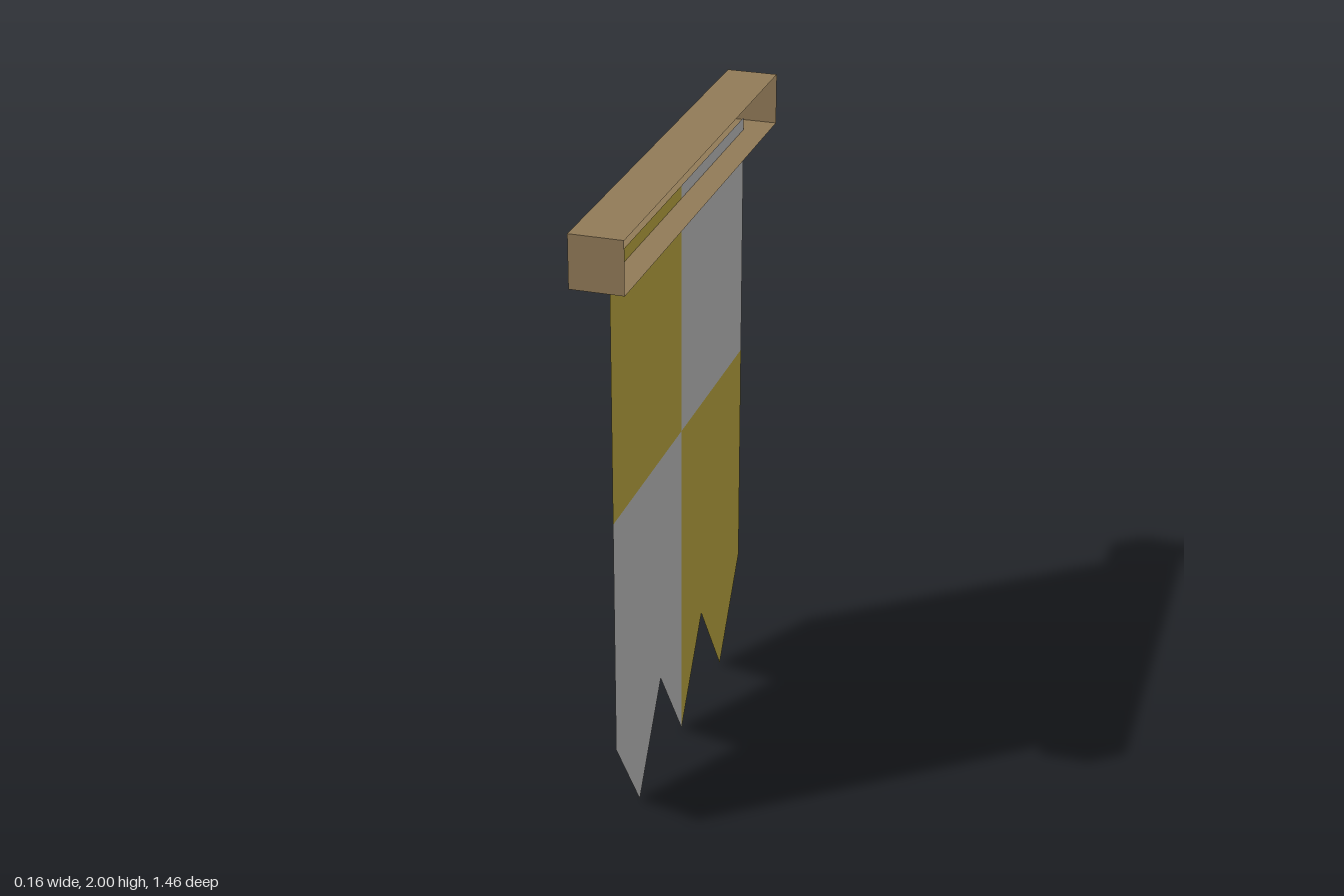
import * as THREE from 'three';

const material = (name, color) => {
  const m = new THREE.MeshStandardMaterial({ color, side: THREE.DoubleSide });
  m.name = name;
  return m;
};

export function createModel() {
  const wood = material('wood', 0x927b58);
  const gold = material('gold cloth', 0xc9b345);
  const white = material('white cloth', 0xcbcbcb);

  const group = new THREE.Group();
  group.name = 'hangingBanner';

  // Thin-walled crossbar, open along its +x side
  const barGeometry = new THREE.BoxGeometry(0.16, 0.16, 1.46);
  barGeometry.setIndex(Array.from(barGeometry.index.array).slice(6));
  barGeometry.clearGroups();
  const bar = new THREE.Mesh(barGeometry, wood);
  bar.name = 'crossbar';
  bar.position.y = 1.92;
  group.add(bar);

  // Single-sheet cloth, drawn in (-z, y) and turned to face x
  const banner = new THREE.Group();
  banner.name = 'banner';
  banner.rotation.y = Math.PI / 2;
  group.add(banner);

  const addPanel = (name, points, mat) => {
    const shape = new THREE.Shape(points.map(([u, y]) => new THREE.Vector2(u, y)));
    const mesh = new THREE.Mesh(new THREE.ShapeGeometry(shape), mat);
    mesh.name = name;
    banner.add(mesh);
  };

  const left = -0.625, right = 0.64, middle = 0.008;
  const top = 1.88, split = 1.08, notch = 0.315;
  const third = (right - left) / 3;

  // Upper quarters
  addPanel('upperFrontPanel', [[left, split], [middle, split], [middle, top], [left, top]], gold);
  addPanel('upperBackPanel', [[middle, split], [right, split], [right, top], [middle, top]], white);

  // Lower quarters, cut into three points along the hem
  addPanel('lowerFrontPanel', [
    [left, split], [left, notch], [left + third / 2, 0],
    [left + third, notch], [middle, 0], [middle, split],
  ], white);
  addPanel('lowerBackPanel', [
    [middle, split], [middle, 0], [right - third, notch],
    [right - third / 2, 0], [right, notch], [right, split],
  ], gold);

  return group;
}
